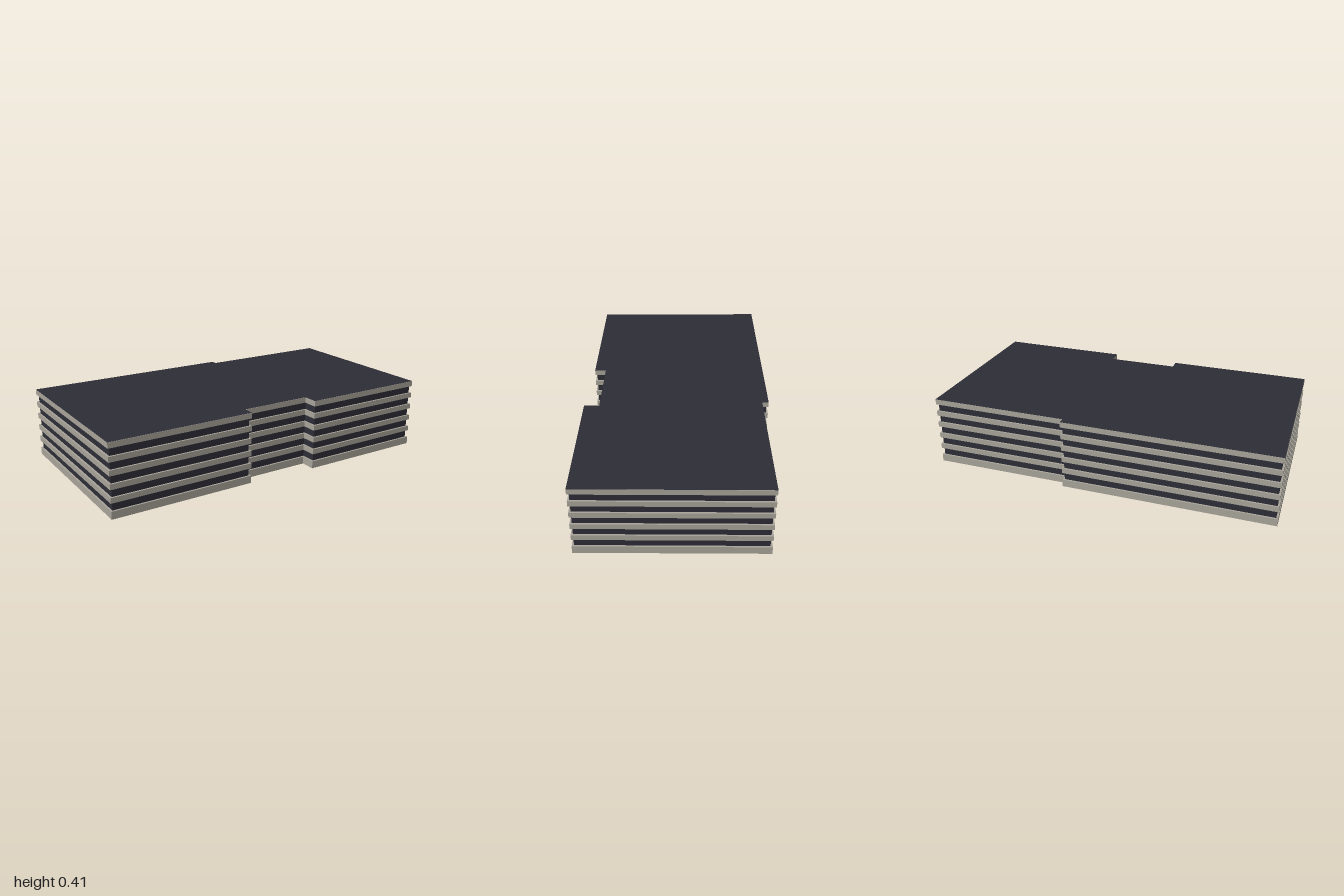
import * as THREE from 'three';

// Footprint corners as [x, z], counter-clockwise seen from above
const FOOTPRINT = [
  [-0.985, 0.5], [-0.165, 0.5], [-0.165, 0.435], [0.243, 0.435], [0.243, 0.52],
  [0.997, 0.52], [0.999, -0.485], [0.204, -0.485], [0.204, -0.522], [-1, -0.524],
].map(([x, z]) => new THREE.Vector2(x, -z));

// Moves every side of the outline inwards by d
function inset(points, d) {
  const n = points.length;
  return points.map((p, i) => {
    const a = p.clone().sub(points[(i + n - 1) % n]).normalize();
    const b = points[(i + 1) % n].clone().sub(p).normalize();
    const na = new THREE.Vector2(-a.y, a.x);
    const nb = new THREE.Vector2(-b.y, b.x);
    const miter = na.clone().add(nb);
    return p.clone().addScaledVector(miter, d / (1 + na.dot(nb)));
  });
}

// Upright walls along an outline, open above and below
function wallGeometry(points, y0, y1) {
  const pos = [];
  points.forEach((a, i) => {
    const b = points[(i + 1) % points.length];
    pos.push(a.x, y0, -a.y, b.x, y0, -b.y, b.x, y1, -b.y);
    pos.push(a.x, y0, -a.y, b.x, y1, -b.y, a.x, y1, -a.y);
  });
  const g = new THREE.BufferGeometry();
  g.setAttribute('position', new THREE.Float32BufferAttribute(pos, 3));
  g.computeVertexNormals();
  return g;
}

export function createModel() {
  const group = new THREE.Group();
  const dark = new THREE.MeshStandardMaterial({ color: 0x2e2d37, side: THREE.DoubleSide });
  dark.name = 'dark glass and roof';
  const stone = new THREE.MeshStandardMaterial({ color: 0xa9a59b });
  stone.name = 'pale stone';

  const add = (name, geometry, material) => {
    const mesh = new THREE.Mesh(geometry, material);
    mesh.name = name;
    group.add(mesh);
    return mesh;
  };

  // Recessed window walls, hollow inside
  add('windowWalls', wallGeometry(inset(FOOTPRINT, 0.011), 0, 0.404), dark);

  // Flat roof reaching the outer edge
  const roof = new THREE.ShapeGeometry(new THREE.Shape(FOOTPRINT)).rotateX(-Math.PI / 2);
  add('roof', roof, dark).position.y = 0.405;

  // Projecting floor bands: plinth, four floors, parapet
  const ring = new THREE.Shape(FOOTPRINT);
  ring.holes.push(new THREE.Path(inset(FOOTPRINT, 0.0105)));
  const bands = [[0, 0.043], [0.086, 0.116], [0.158, 0.188], [0.23, 0.26], [0.301, 0.331], [0.373, 0.404]];
  bands.forEach(([y0, y1], i) => {
    const g = new THREE.ExtrudeGeometry(ring, { depth: y1 - y0, bevelEnabled: false });
    g.rotateX(-Math.PI / 2).translate(0, y0, 0);
    add(i === 0 ? 'plinth' : i === 5 ? 'parapet' : 'floorBand' + i, g, stone);
  });

  return group;
}
